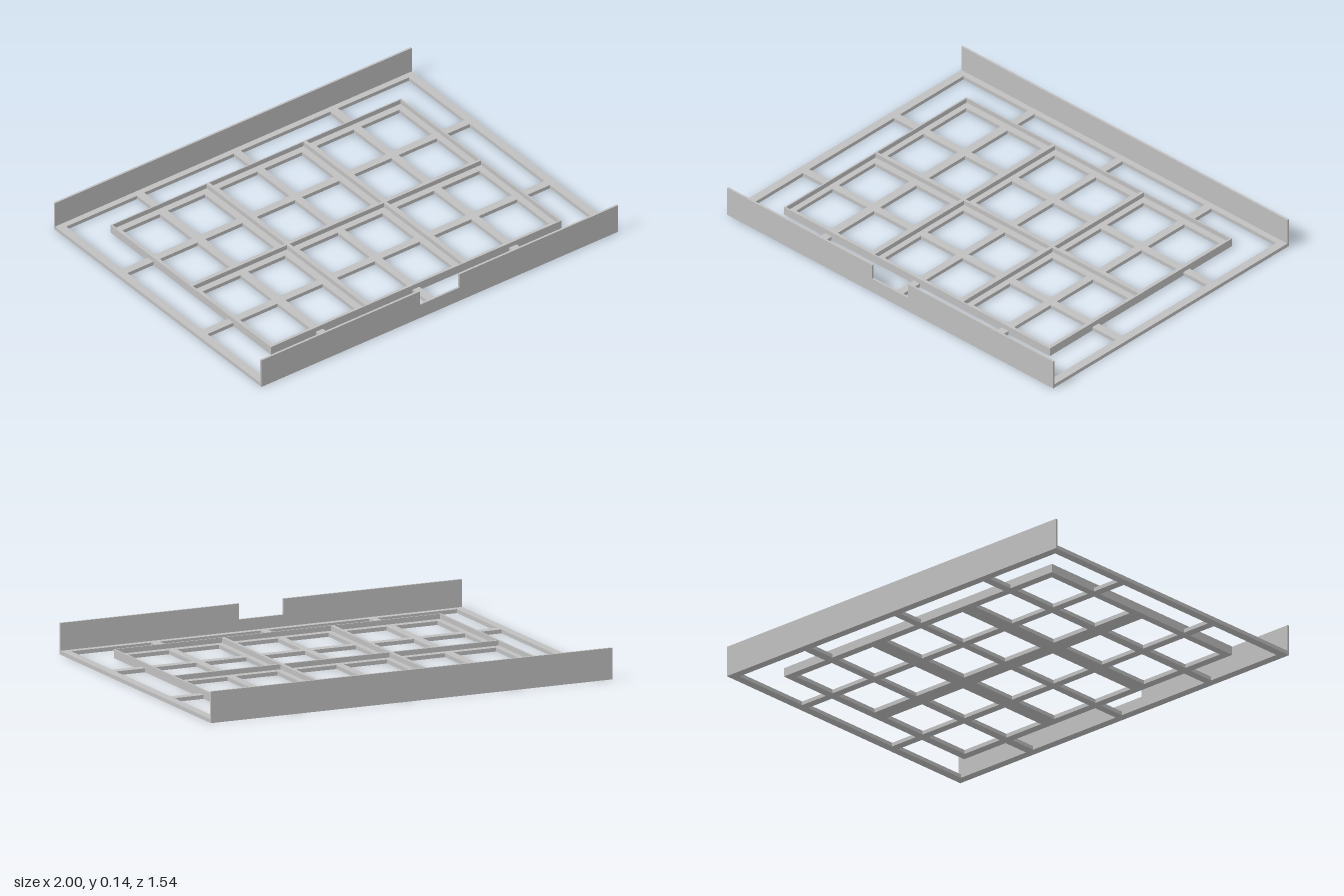
import * as THREE from 'three';

export function createModel() {
  const model = new THREE.Group();
  const grey = new THREE.MeshStandardMaterial({ color: 0xc0c0c0 });
  grey.name = 'light grey';

  const add = (name, geometry) => {
    const mesh = new THREE.Mesh(geometry, grey);
    mesh.name = name;
    model.add(mesh);
    return mesh;
  };
  const vecs = (points) => points.map(([x, y]) => new THREE.Vector2(x, y));
  const rect = (x0, x1, y0, y1) => [[x0, y0], [x1, y0], [x1, y1], [x0, y1]];

  // Flat plate lying on y = 0, extruded upwards; shape y maps to -z
  const plate = (name, outline, holes, height) => {
    const shape = new THREE.Shape(vecs(outline));
    holes.forEach((h) => shape.holes.push(new THREE.Path(vecs(h))));
    const geometry = new THREE.ExtrudeGeometry(shape, { depth: height, bevelEnabled: false });
    geometry.rotateX(-Math.PI / 2);
    return add(name, geometry);
  };

  const W = 1, D = 0.77, floorH = 0.018;
  const trayX = 0.815, trayZ = 0.595; // outer limits of the tray block
  const rimX = 0.96, rimZ = 0.73; // inner edge of the outer frame

  // Openings inside the trays
  const holes = [];
  const spansX = [[-0.778, -0.567], [-0.523, -0.315], [-0.235, -0.02], [0.018, 0.23], [0.31, 0.52], [0.56, 0.775]];
  const spansZ = [[0.04, 0.277], [0.317, 0.555]];
  for (const [x0, x1] of spansX) {
    for (const [z0, z1] of spansZ) {
      holes.push(rect(x0, x1, z0, z1), rect(x0, x1, -z1, -z0));
    }
  }
  // Openings between the tray block and the outer frame
  for (const s of [-1, 1]) {
    holes.push(rect(-0.523, -0.02, s * trayZ, s * rimZ), rect(0.018, 0.52, s * trayZ, s * rimZ));
    holes.push(rect(s * trayX, s * rimX, -0.277, 0.277));
    for (const t of [-1, 1]) {
      holes.push([
        [0.563, rimZ], [rimX, rimZ], [rimX, 0.317],
        [trayX, 0.317], [trayX, trayZ], [0.563, trayZ],
      ].map(([x, z]) => [s * x, t * z]));
    }
  }
  plate('baseGrid', rect(-W, W, -D, D), holes, floorH);

  // Six shallow trays, each with a thin raised rim
  const pitchX = (2 * trayX) / 3, wall = 0.008;
  for (let i = 0; i < 3; i++) {
    for (let j = 0; j < 2; j++) {
      const x0 = -trayX + i * pitchX, z0 = -trayZ + j * trayZ;
      const x1 = x0 + pitchX, z1 = z0 + trayZ;
      const rim = plate('trayRim', rect(x0, x1, z0, z1),
        [rect(x0 + wall, x1 - wall, z0 + 0.006, z1 - 0.006)], 0.041 - floorH);
      rim.position.y = floorH;
    }
  }

  // Upright front wall with a notch, and plain back wall
  const wallH = 0.145, wallT = 0.01;
  const upright = (name, outline, z) => {
    const geometry = new THREE.ExtrudeGeometry(new THREE.Shape(vecs(outline)), { depth: wallT, bevelEnabled: false });
    add(name, geometry).position.z = z;
  };
  upright('frontWall', [
    [-W, 0], [W, 0], [W, wallH], [0.11, wallH],
    [0.11, 0.072], [-0.11, 0.072], [-0.11, wallH], [-W, wallH],
  ], D - wallT);
  upright('backWall', rect(-W, W, 0, wallH), -D);

  return model;
}
